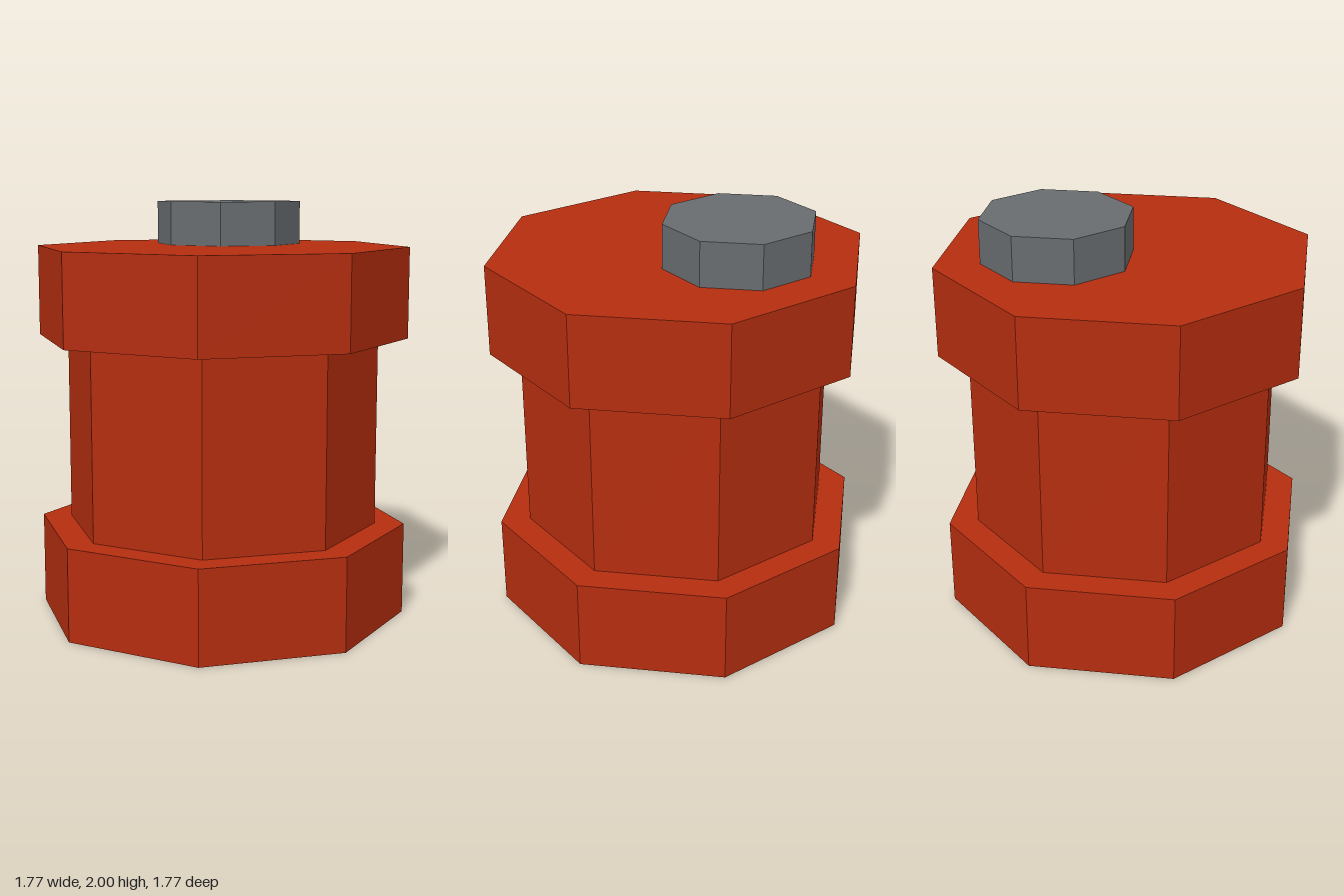
import * as THREE from 'three';

export function createModel() {
  const group = new THREE.Group();
  const red = new THREE.MeshStandardMaterial({ color: 0xb42d0f, flatShading: true });
  red.name = 'red paint';
  const grey = new THREE.MeshStandardMaterial({ color: 0x686c6f, flatShading: true });
  grey.name = 'grey metal';

  const TWIST = 0.172; // shared rotation of every octagon

  // Upright octagonal prism from y0 to y1
  function prism(name, radius, y0, y1, material, x = 0, z = 0) {
    const geometry = new THREE.CylinderGeometry(radius, radius, y1 - y0, 8, 1, false, TWIST);
    const mesh = new THREE.Mesh(geometry, material);
    mesh.name = name;
    mesh.position.set(x, (y0 + y1) / 2, z);
    group.add(mesh);
  }

  // Barrel: wide rims around a narrower waist
  prism('bottomRim', 0.898, 0, 0.445, red);
  prism('waist', 0.756, 0.445, 1.355, red);
  prism('topRim', 0.898, 1.355, 1.79, red);

  // Off-centre filler cap
  prism('cap', 0.358, 1.79, 2, grey, -0.055, -0.318);

  return group;
}
